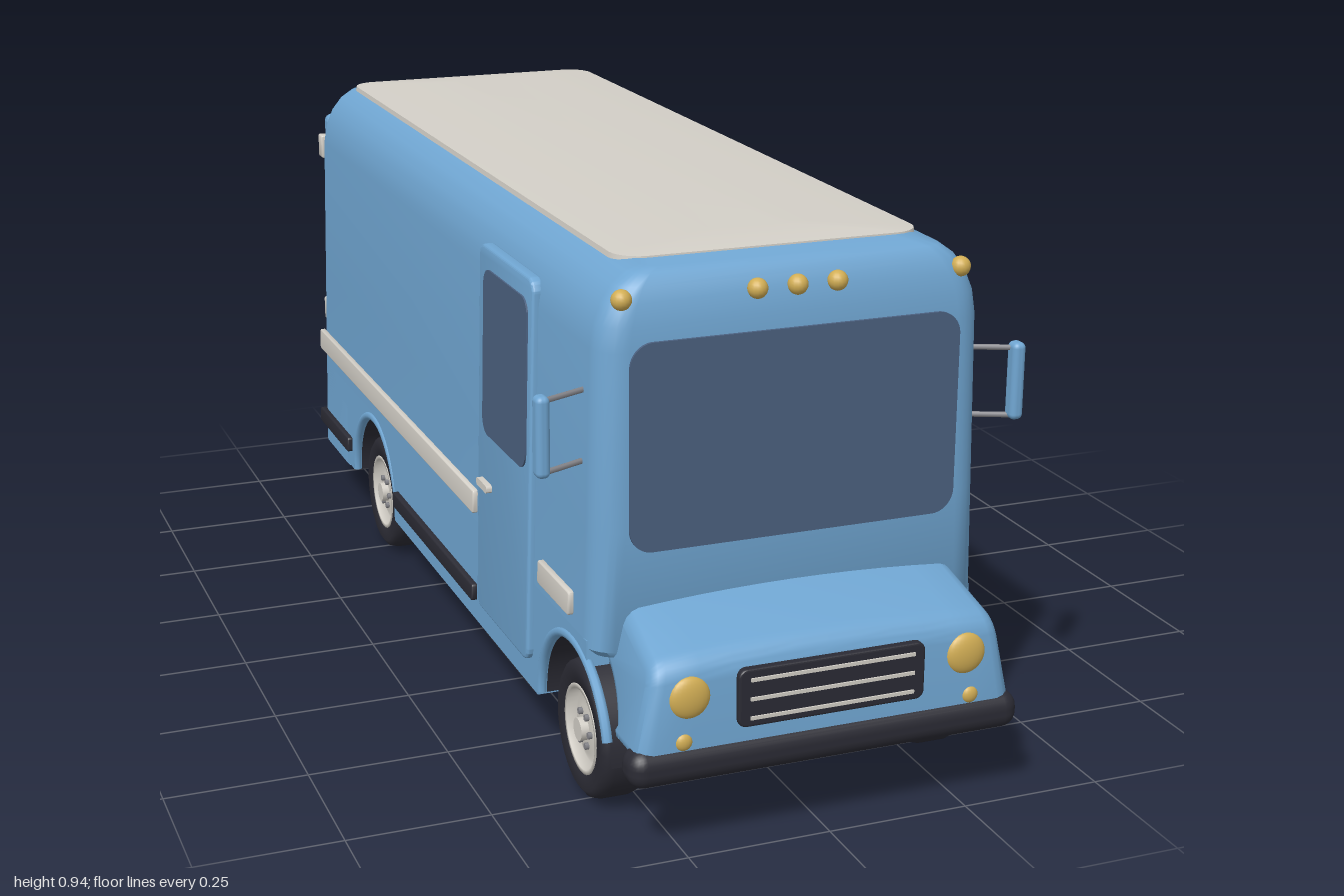
import * as THREE from 'three';
import { toCreasedNormals } from 'three/addons/utils/BufferGeometryUtils.js';
import { RoundedBoxGeometry } from 'three/addons/geometries/RoundedBoxGeometry.js';

const mat = (name, color, extra = {}) => new THREE.MeshStandardMaterial({ name, color, ...extra });
const blue = mat('blue paint', 0x70a6d2);
const dark = mat('dark rubber', 0x2b2b34, { side: THREE.DoubleSide });
const glass = mat('window glass', 0x4b607f);
const pale = mat('pale trim', 0xd3cfc7);
const gold = mat('amber lamp', 0xd2ae55);
const steel = mat('grey steel', 0x85858a);

const WHEEL_Y = 0.12, FRONT_Z = 0.73, REAR_Z = -0.51, ARCH_R = 0.163;
// Half width of the body, leaning in slightly towards the roof
const sideX = (y) => 0.358 - 0.025 * y;

function bend(geo, rule) {
  const p = geo.attributes.position, v = new THREE.Vector3();
  for (let i = 0; i < p.count; i++) {
    rule(v.fromBufferAttribute(p, i));
    p.setXYZ(i, v.x, v.y, v.z);
  }
  geo.computeVertexNormals();
  return geo;
}

function roundRect(x0, y0, x1, y1, r) {
  const s = new THREE.Shape();
  s.absarc(x1 - r, y1 - r, r, 0, Math.PI / 2);
  s.absarc(x0 + r, y1 - r, r, Math.PI / 2, Math.PI);
  s.absarc(x0 + r, y0 + r, r, Math.PI, Math.PI * 1.5);
  s.absarc(x1 - r, y0 + r, r, Math.PI * 1.5, Math.PI * 2);
  s.closePath();
  return s;
}

// Extrusion centred on its own depth, with an optional small bevel
function slab(shape, depth, bevel = 0, steps = 1) {
  const geo = new THREE.ExtrudeGeometry(shape, {
    depth: depth - 2 * bevel, steps, curveSegments: 10, bevelEnabled: bevel > 0,
    bevelThickness: bevel, bevelSize: bevel, bevelOffset: -bevel, bevelSegments: 3,
  });
  return geo.translate(0, 0, -depth / 2 + bevel);
}

// Slab drawn in (z, y) and laid on the leaning side wall; s is +1 for left, -1 for right
const sideSlab = (shape, depth, s, offset = 0, bevel = 0) => toCreasedNormals(
  bend(slab(shape, depth, bevel).rotateY(-Math.PI / 2), (v) => { v.x += s * (sideX(v.y) + offset); }), 0.6);

// Shell of stacked rounded rectangles; rings are [height, inset]
function stack(rings, halfWidth, z0, z1, radius) {
  const pos = [], idx = [], seg = 6, n = 4 * (seg + 1);
  for (const [y, inset] of rings) {
    const hw = halfWidth(y) - inset, hl = (z1 - z0) / 2 - inset * 0.5, r = Math.max(radius - inset * 0.3, 0.02);
    for (let q = 0; q < 4; q++) for (let k = 0; k <= seg; k++) {
      const a = (q + k / seg) * Math.PI / 2;
      const cx = (q === 0 || q === 3 ? 1 : -1) * (hw - r), cz = (q < 2 ? -1 : 1) * (hl - r);
      pos.push(cx + r * Math.cos(a), y, (z0 + z1) / 2 + cz - r * Math.sin(a));
    }
  }
  const last = rings.length - 1, bottom = n * rings.length, top = bottom + 1;
  pos.push(0, rings[0][0], (z0 + z1) / 2, 0, rings[last][0] + 0.001, (z0 + z1) / 2);
  for (let i = 0; i < n; i++) {
    const j = (i + 1) % n;
    for (let k = 0; k < last; k++) {
      const a = k * n + i, b = k * n + j;
      idx.push(a, b, b + n, a, b + n, a + n);
    }
    idx.push(bottom, j, i, top, last * n + i, last * n + j);
  }
  const geo = new THREE.BufferGeometry();
  geo.setAttribute('position', new THREE.Float32BufferAttribute(pos, 3));
  geo.setIndex(idx);
  geo.computeVertexNormals();
  return toCreasedNormals(geo, 0.7);
}

export function createModel() {
  const root = new THREE.Group();
  root.name = 'stepVan';
  const add = (name, geo, material, x = 0, y = 0, z = 0, parent = root) => {
    const m = new THREE.Mesh(geo, material);
    m.name = name;
    m.position.set(x, y, z);
    parent.add(m);
    return m;
  };
  const box = (name, material, x0, x1, y0, y1, z0, z1, r = 0) => add(name,
    r ? new RoundedBoxGeometry(x1 - x0, y1 - y0, z1 - z0, 3, r) : new THREE.BoxGeometry(x1 - x0, y1 - y0, z1 - z0),
    material, (x0 + x1) / 2, (y0 + y1) / 2, (z0 + z1) / 2);

  // Main shell, rear lower shell and roof panel
  add('bodyShell', stack([[0.285, 0.012], [0.297, 0], [0.5, 0], [0.8, 0], [0.84, 0.005], [0.875, 0.018],
    [0.9, 0.036], [0.918, 0.06], [0.925, 0.09]], sideX, -0.955, 0.835, 0.05), blue);
  add('rearLowerShell', stack([[0.115, 0], [0.3, 0]], sideX, -0.955, -0.68, 0.05), blue);
  add('roofPanel', stack([[0.915, 0], [0.928, 0.002], [0.931, 0.05], [0.934, 0.12], [0.936, 0.2]],
    () => 0.272, -0.92, 0.74, 0.05), pale);

  // Hood with wheel cut-outs, narrowing upwards and crowned across
  const hood = new THREE.Shape();
  hood.moveTo(0.78, 0.39);
  hood.lineTo(0.84, 0.382);
  hood.lineTo(0.95, 0.348);
  hood.quadraticCurveTo(0.982, 0.338, 0.986, 0.3);
  hood.lineTo(0.99, 0.165);
  hood.lineTo(0.888, 0.165);
  hood.absarc(FRONT_Z, WHEEL_Y, ARCH_R, 0.28, 1.25, false);
  hood.closePath();
  add('hood', toCreasedNormals(bend(slab(hood, 0.67, 0.025, 10).rotateY(-Math.PI / 2), (v) => {
    const t = THREE.MathUtils.clamp((v.y - 0.18) / 0.2, 0, 1);
    v.x *= 1 - 0.12 * t;
    v.y -= 0.16 * t * v.x * v.x;
  }), 0.7), blue);

  // Front face: windscreen, grille, lamps
  add('windscreen', slab(roundRect(-0.29, 0.465, 0.29, 0.815, 0.04), 0.009), glass, 0, 0, 0.835);
  add('grille', slab(roundRect(-0.165, 0.21, 0.165, 0.31, 0.015), 0.02, 0.004), dark, 0, 0, 0.987);
  for (const y of [0.226, 0.259, 0.292]) box('grilleBar', pale, -0.145, 0.145, y - 0.003, y + 0.003, 0.99, 1.0);
  for (const x of [-0.297, -0.07, 0, 0.07, 0.297])
    add('roofMarkerLamp', new THREE.SphereGeometry(0.017, 16, 12), gold, x, 0.883, Math.abs(x) > 0.2 ? 0.818 : 0.828);
  for (const s of [1, -1]) {
    add('headlight', new THREE.SphereGeometry(0.036, 24, 16).scale(1, 1, 0.4), gold, s * 0.245, 0.272, 0.983);
    add('turnLamp', new THREE.SphereGeometry(0.015, 16, 12).scale(1, 1, 0.6), gold, s * 0.255, 0.198, 0.986);
  }
  box('frontBumper', dark, -0.347, 0.347, 0.125, 0.19, 0.932, 1.0, 0.028);
  box('rearBumper', dark, -0.347, 0.347, 0.12, 0.18, -1.0, -0.935, 0.028);

  // Lower side wall with wheel arches
  const skirt = new THREE.Shape();
  skirt.moveTo(-0.9, 0.31);
  skirt.lineTo(-0.9, 0.115);
  skirt.absarc(REAR_Z, WHEEL_Y, ARCH_R, Math.PI, 0, true);
  skirt.lineTo(REAR_Z + ARCH_R, 0.115);
  skirt.lineTo(FRONT_Z - ARCH_R, 0.115);
  skirt.absarc(FRONT_Z, WHEEL_Y, ARCH_R, Math.PI, 1.1, true);
  skirt.lineTo(0.8, 0.31);
  skirt.closePath();

  const profile = (pts) => pts.map(([r, y]) => new THREE.Vector2(r, y));
  const tyreGeo = new THREE.LatheGeometry(profile([[0.072, -0.04], [0.105, -0.042], [0.116, -0.034], [0.12, -0.02],
    [0.12, 0.02], [0.116, 0.034], [0.105, 0.042], [0.075, 0.038], [0.072, 0.025]]), 32).rotateZ(-Math.PI / 2);
  const rimGeo = new THREE.LatheGeometry(profile([[0.078, -0.03], [0.078, 0.039], [0.07, 0.039], [0.063, 0.022],
    [0.04, 0.03], [0, 0.03]]), 32).rotateZ(-Math.PI / 2);
  const cylX = (r, len, seg = 16, open = false) => new THREE.CylinderGeometry(r, r, len, seg, 1, open).rotateZ(Math.PI / 2);

  for (const s of [1, -1]) {
    const side = new THREE.Group();
    side.name = s > 0 ? 'leftSide' : 'rightSide';
    root.add(side);
    const panel = (name, material, z0, y0, z1, y1, r, depth, offset, bevel = 0) =>
      add(name, sideSlab(roundRect(z0, y0, z1, y1, r), depth, s, offset, bevel), material, 0, 0, 0, side);

    add('lowerWall', sideSlab(skirt, 0.04, s, -0.02), blue, 0, 0, 0, side);
    panel('cabDoor', blue, 0.25, 0.165, 0.54, 0.85, 0.025, 0.022, 0, 0.005);
    panel('cabDoorWindow', glass, 0.283, 0.51, 0.52, 0.812, 0.03, 0.008, 0.01);
    panel('cabDoorHandle', pale, 0.275, 0.407, 0.335, 0.421, 0.006, 0.012, 0.016);
    panel('frontTrim', pale, 0.58, 0.33, 0.737, 0.372, 0.006, 0.012, 0.004, 0.003);
    panel('longTrim', pale, -0.932, 0.327, 0.217, 0.372, 0.006, 0.012, 0.004, 0.003);
    panel('rubStrip', dark, -0.325, 0.155, 0.217, 0.187, 0.005, 0.014, 0.004, 0.003);
    panel('rearRubStrip', dark, -0.932, 0.155, -0.69, 0.187, 0.005, 0.014, 0.004, 0.003);

    // Arch lips, liners and wheels (double at the rear)
    for (const [z, from] of [[FRONT_Z, 0.3], [REAR_Z, 0]]) {
      add('archLip', new THREE.TorusGeometry(ARCH_R + 0.003, 0.009, 8, 28, Math.PI - from)
        .rotateZ(from).rotateY(-Math.PI / 2), blue, s * 0.347, WHEEL_Y, z, side);
      add('archLiner', new THREE.CylinderGeometry(0.158, 0.158, 0.17, 28, 1, true, 0, Math.PI)
        .rotateZ(Math.PI / 2), dark, s * 0.255, WHEEL_Y, z, side);
      const wheel = new THREE.Group();
      wheel.name = z > 0 ? 'frontWheel' : 'rearWheel';
      wheel.position.set(s * 0.297, WHEEL_Y, z);
      wheel.rotation.y = s > 0 ? 0 : Math.PI;
      side.add(wheel);
      add('tyre', tyreGeo, dark, 0, 0, 0, wheel);
      add('rim', rimGeo, pale, 0, 0, 0, wheel);
      add('hub', cylX(0.02, 0.02), pale, 0.034, 0, 0, wheel);
      for (let i = 0; i < 6; i++) {
        const a = i * Math.PI / 3;
        add('wheelNut', cylX(0.006, 0.012, 6), steel, 0.031, 0.03 * Math.sin(a), 0.03 * Math.cos(a), wheel);
      }
      if (z < 0) add('innerTyre', tyreGeo, dark, -0.077, 0, 0, wheel);
    }

    // Door mirror on two arms
    const mirror = new THREE.Group();
    mirror.name = 'doorMirror';
    side.add(mirror);
    add('mirrorHousing', new RoundedBoxGeometry(0.024, 0.136, 0.03, 3, 0.01), blue, s * 0.423, 0.668, 0.797, mirror);
    for (const y of [0.606, 0.725]) add('mirrorArm', new THREE.TubeGeometry(new THREE.LineCurve3(
      new THREE.Vector3(s * 0.335, y, 0.757), new THREE.Vector3(s * 0.42, y, 0.795)), 1, 0.005, 8), steel, 0, 0, 0, mirror);

    // Rear door with window, handle and hinges
    const x = (a, b) => (s > 0 ? [a, b] : [-b, -a]);
    const back = (name, material, a, y0, b, y1, r, depth, z, bevel = 0) => {
      const [l, h] = x(a, b);
      add(name, toCreasedNormals(slab(roundRect(l, y0, h, y1, r), depth, bevel), 0.6), material, 0, 0, z, side);
    };
    back('rearDoor', blue, 0.003, 0.185, 0.322, 0.855, 0.015, 0.024, -0.957, 0.005);
    back('rearDoorWindow', glass, 0.045, 0.58, 0.29, 0.8, 0.03, 0.008, -0.968);
    back('rearDoorHandle', pale, 0.02, 0.36, 0.036, 0.435, 0.006, 0.016, -0.973, 0.003);
    for (const y of [0.255, 0.41, 0.785]) back('rearHinge', pale, 0.316, y - 0.025, 0.336, y + 0.025, 0.004, 0.03, -0.96, 0.003);

    // Step below the cab door and chassis rail
    const [a, b] = x(0.21, 0.35), [c, d] = x(0.112, 0.138);
    box('doorStep', dark, a, b, 0.105, 0.125, 0.26, 0.53);
    box('chassisRail', dark, c, d, 0.095, 0.12, -0.91, 0.9);
  }

  // Underside: floor, wheel wells, axles and differential
  box('floor', blue, -0.33, 0.33, 0.118, 0.135, -0.35, 0.57);
  for (const [z0, z1] of [[FRONT_Z - ARCH_R, 0.95], [REAR_Z - ARCH_R, REAR_Z + ARCH_R]])
    box('wheelWell', dark, -0.172, 0.172, 0.118, 0.283, z0, z1);
  for (const z of [FRONT_Z, REAR_Z]) add('axle', cylX(0.014, 0.56), dark, 0, WHEEL_Y, z);
  add('differential', new THREE.SphereGeometry(0.042, 20, 14), dark, 0, WHEEL_Y, REAR_Z);
  return root;
}
